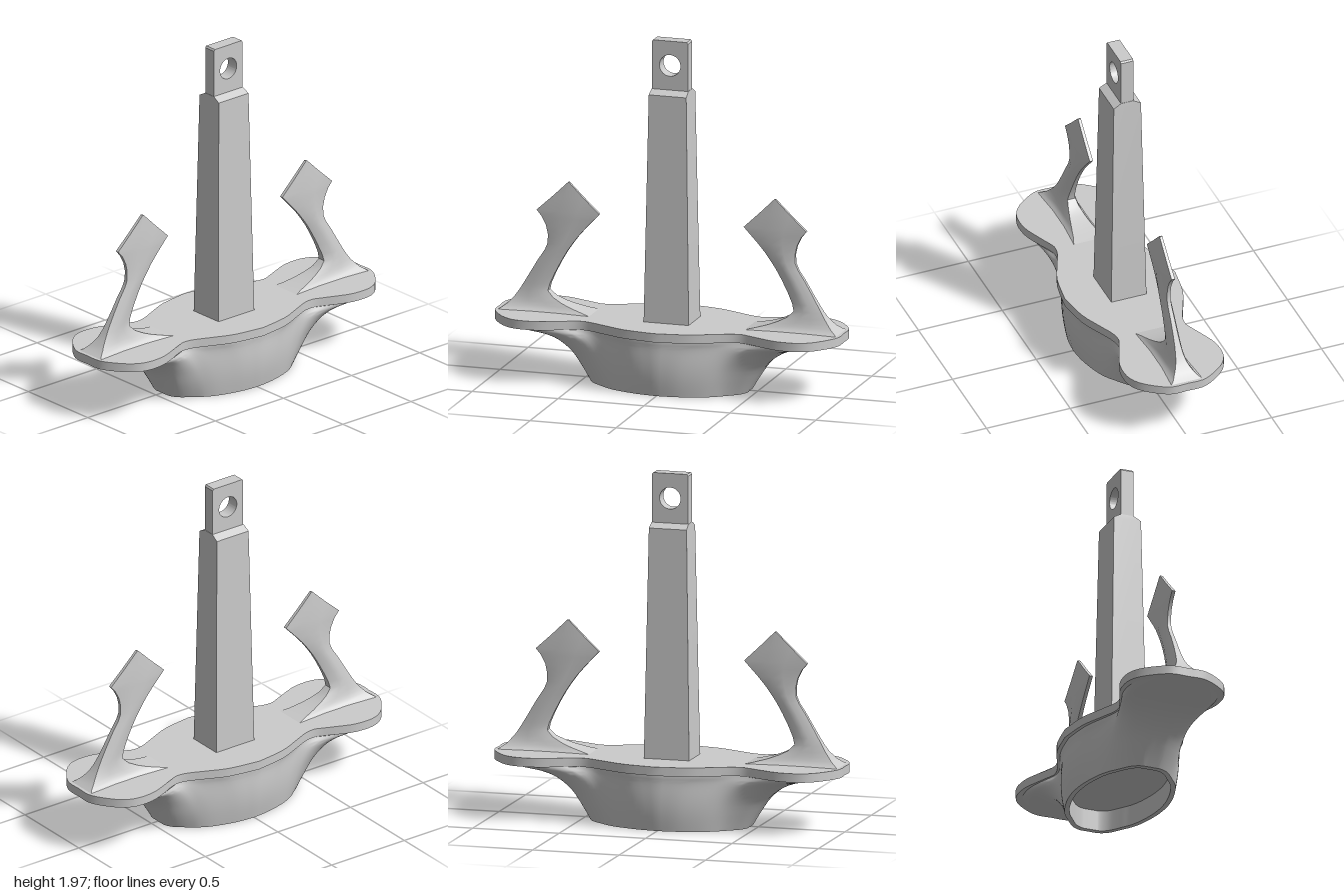
import * as THREE from 'three';
import { toCreasedNormals } from 'three/addons/utils/BufferGeometryUtils.js';

const material = new THREE.MeshStandardMaterial({ color: 0xcccccc });

// Skin a list of rings ([x, y, z] points, counter-clockwise from above) and cap both ends.
function loft(rings, crease) {
  const n = rings[0].length;
  const pos = rings.flat(2);
  const index = [];
  for (let i = 0; i < rings.length - 1; i++) {
    for (let j = 0; j < n; j++) {
      const k = (j + 1) % n;
      const a = i * n + j, b = i * n + k, c = a + n, d = b + n;
      index.push(a, b, d, a, d, c);
    }
  }
  const addCap = (ringIndex, flip) => {
    const centre = pos.length / 3;
    const ring = rings[ringIndex];
    for (let axis = 0; axis < 3; axis++) pos.push(ring.reduce((s, p) => s + p[axis], 0) / n);
    for (let j = 0; j < n; j++) {
      const a = ringIndex * n + j, b = ringIndex * n + (j + 1) % n;
      index.push(centre, flip ? b : a, flip ? a : b);
    }
  };
  addCap(0, true);
  addCap(rings.length - 1, false);
  const geo = new THREE.BufferGeometry();
  geo.setAttribute('position', new THREE.Float32BufferAttribute(pos, 3));
  geo.setIndex(index);
  return toCreasedNormals(geo, crease);
}

function part(name, geometry) {
  const mesh = new THREE.Mesh(geometry, material);
  mesh.name = name;
  return mesh;
}

// Quarter outlines [x, z] from the side middle to the end; both share one parameter.
const curve = (pts) => new THREE.SplineCurve(pts.map(([x, z]) => new THREE.Vector2(x, z)));
const plateCurve = curve([[0.33, 0], [0.302, 0.18], [0.25, 0.31], [0.205, 0.42], [0.205, 0.5], [0.25, 0.6],
  [0.285, 0.7], [0.287, 0.81], [0.25, 0.89], [0.17, 0.96], [0.09, 1], [0, 1]]);
const footCurve = curve([[0.28, 0], [0.272, 0.09], [0.255, 0.17], [0.23, 0.25], [0.2, 0.31], [0.17, 0.35],
  [0.14, 0.39], [0.11, 0.425], [0.08, 0.445], [0.05, 0.455], [0.03, 0.455], [0, 0.455]]);

// Mirror a quarter outline, given as t -> [x, z], into a full ring at height y.
function fullRing(y, quarter) {
  const steps = 33, ring = [];
  for (const [sx, sz, back] of [[1, -1, 0], [-1, -1, 1], [-1, 1, 0], [1, 1, 1]]) {
    for (let i = 0; i < steps; i++) {
      const [x, z] = quarter(back ? 1 - i / steps : i / steps);
      ring.push([sx * x, y, sz * z]);
    }
  }
  return ring;
}

function makePlate() {
  const ring = (y) => fullRing(y, (t) => plateCurve.getPoint(t).toArray());
  return part('plate', loft([ring(0.32), ring(0.37)], 0.6));
}

// Hollow base: a recess, a bottom rim, then walls flaring out under the plate ends.
function makeBase() {
  const inner = (y) => fullRing(y, (t) => {
    const p = footCurve.getPoint(t);
    return [p.x * 0.9, p.y * 0.93];
  });
  const profile = curve([[0, 0], [0.08, 0.09], [0.17, 0.21], [0.24, 0.38], [0.28, 0.58], [0.305, 0.82], [0.325, 0.96]]);
  const rings = [inner(0.12), inner(0)];
  for (let i = 0; i <= 18; i++) {
    const { x: y, y: flare } = profile.getPoint(i / 18);
    const bulge = 1 + 0.07 * Math.sin(Math.PI * y / 0.33);
    rings.push(fullRing(y, (t) => {
      const foot = footCurve.getPoint(t), top = plateCurve.getPoint(t);
      return [
        THREE.MathUtils.lerp(foot.x, top.x * 0.93, flare) * bulge,
        THREE.MathUtils.lerp(foot.y, top.y, flare),
      ];
    }));
  }
  return part('base', loft(rings, 0.7));
}

// Tapered square post with a bevelled shoulder.
function makeShaft() {
  const rings = [[0.36, 0.105, 0.131], [1.665, 0.081, 0.109], [1.69, 0.037, 0.107]]
    .map(([y, x, z]) => [[x, y, z], [x, y, -z], [-x, y, -z], [-x, y, z]]);
  return part('shaft', loft(rings, 0.2));
}

// Flat tang with a round eye.
function makeTang() {
  const shape = new THREE.Shape();
  shape.moveTo(-0.105, 1.68).lineTo(0.105, 1.68).lineTo(0.105, 1.96).lineTo(0.098, 1.97)
    .lineTo(-0.098, 1.97).lineTo(-0.105, 1.96).closePath();
  shape.holes.push(new THREE.Path().absarc(0, 1.83, 0.061, 0, Math.PI * 2, true));
  const geo = new THREE.ExtrudeGeometry(shape, { depth: 0.074, bevelEnabled: false, curveSegments: 32 });
  geo.translate(0, 0, -0.037).rotateY(Math.PI / 2);
  return part('tang', toCreasedNormals(geo, 0.5));
}

// Thin curved arm with a pointed head and a splayed foot.
function makeFluke(name) {
  // Rows: y, inner z, outer z, half thickness at the edges, half thickness in the middle.
  const rows = [
    [0.365, 0.43, 0.99, 0.1, 0.085], [0.38, 0.5, 0.967, 0.075, 0.065], [0.4, 0.575, 0.94, 0.057, 0.054],
    [0.42, 0.63, 0.922, 0.044, 0.047], [0.445, 0.68, 0.9, 0.032, 0.042], [0.48, 0.715, 0.877, 0.023, 0.037],
    [0.52, 0.705, 0.853, 0.018, 0.034], [0.58, 0.678, 0.818, 0.014, 0.031], [0.65, 0.642, 0.777, 0.012, 0.028],
    [0.71, 0.607, 0.737, 0.011, 0.026], [0.75, 0.58, 0.72, 0.011, 0.025], [0.8, 0.543, 0.719, 0.01, 0.023],
    [0.85, 0.5, 0.73, 0.01, 0.021], [0.9, 0.453, 0.755, 0.01, 0.019], [0.935, 0.42, 0.785, 0.01, 0.018],
    [1.02, 0.51, 0.692, 0.009, 0.013], [1.105, 0.596, 0.604, 0.008, 0.008],
  ];
  const rings = rows.map(([y, zi, zo, e, m]) => {
    const a = zo + (zi - zo) * 0.35, b = zo + (zi - zo) * 0.65;
    const side = [[e, y, zo], [m, y, a], [m, y, b], [e, y, zi]];
    return [...side, ...side.map(([x, py, z]) => [-x, py, z]).reverse()];
  });
  return part(name, loft(rings, 0.6));
}

export function createModel() {
  const model = new THREE.Group();
  model.name = 'hookedStand';
  const rearFluke = makeFluke('rearFluke');
  rearFluke.rotation.y = Math.PI;
  model.add(makeBase(), makePlate(), makeShaft(), makeTang(), makeFluke('frontFluke'), rearFluke);
  return model;
}
